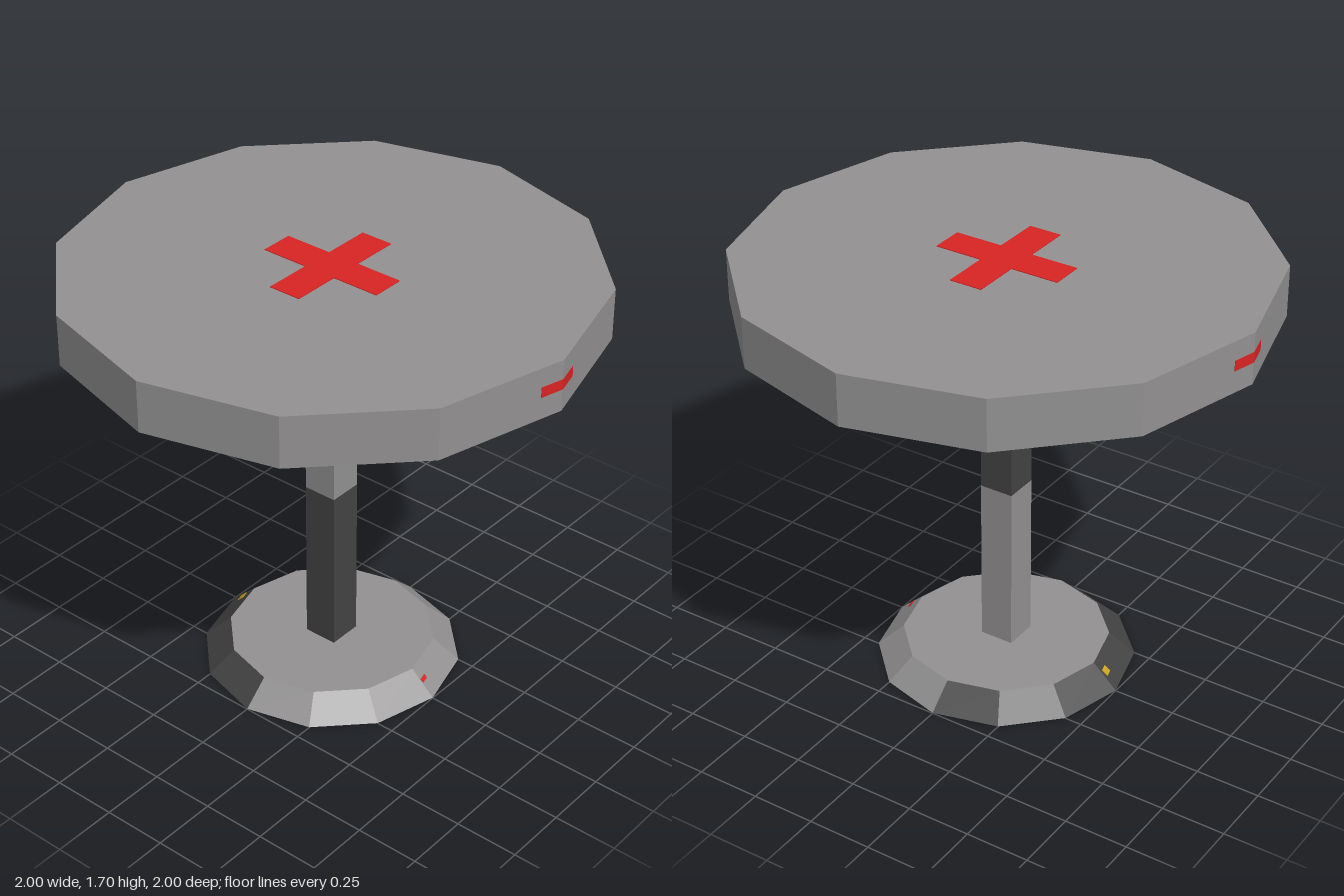
import * as THREE from 'three';

const lightGrey = new THREE.MeshStandardMaterial({ color: 0x929090 });
lightGrey.name = 'light grey';
const darkGrey = new THREE.MeshStandardMaterial({ color: 0x424342 });
darkGrey.name = 'dark grey';
const red = new THREE.MeshStandardMaterial({ color: 0xd82323 });
red.name = 'red';
const yellow = new THREE.MeshStandardMaterial({ color: 0xcca420 });
yellow.name = 'yellow';

const SIDES = 12;
const PLATE = 0.003;

// Split shared vertices so every facet is flat
function faceted(geometry) {
  const g = geometry.toNonIndexed();
  g.computeVertexNormals();
  return g;
}

function addMesh(parent, name, geometry, material, x = 0, y = 0, z = 0) {
  const mesh = new THREE.Mesh(geometry, material);
  mesh.name = name;
  mesh.position.set(x, y, z);
  parent.add(mesh);
  return mesh;
}

// Thin plus-shaped plate lying flat
function crossGeometry(reach, half) {
  const a = reach, b = half;
  const outline = [[-b, -a], [b, -a], [b, -b], [a, -b], [a, b], [b, b],
    [b, a], [-b, a], [-b, b], [-a, b], [-a, -b], [-b, -b]];
  const shape = new THREE.Shape(outline.map(([x, y]) => new THREE.Vector2(x, y)));
  const g = new THREE.ExtrudeGeometry(shape, { depth: PLATE, bevelEnabled: false });
  return g.rotateX(-Math.PI / 2);
}

// Thin plate on a side facet; angle is the facet's heading, tilt leans it upward
function addSideMark(parent, name, material, angle, w, h, x, y, r, tilt = 0) {
  const pivot = new THREE.Group();
  pivot.name = name + 'Pivot';
  pivot.rotation.y = angle;
  const plate = addMesh(pivot, name, new THREE.BoxGeometry(w, h, PLATE), material, x, y, r);
  plate.rotation.x = -tilt;
  parent.add(pivot);
}

export function createModel() {
  const table = new THREE.Group();
  table.name = 'table';
  const step = Math.PI / 12;
  const apothem = Math.cos(step);

  // Table top with dark underside
  addMesh(table, 'tableTop', faceted(new THREE.CylinderGeometry(1, 1, 0.2, SIDES)),
    [lightGrey, lightGrey, darkGrey], 0, 1.6, 0);
  addMesh(table, 'topCross', crossGeometry(0.255, 0.065), red, 0, 1.7, 0);
  addMesh(table, 'undersideCross', crossGeometry(0.255, 0.065), yellow, 0, 1.5 - PLATE, 0);

  // Red rim marks folded around the corners at each end of x
  const halfFacet = Math.sin(step);
  for (const heading of [Math.PI / 2, -Math.PI / 2]) {
    for (const s of [-1, 1]) {
      addSideMark(table, 'rimMark', red, heading + s * step, 0.093, 0.04,
        -s * (halfFacet - 0.0465), 1.605, apothem);
    }
  }

  // Square column: the two colours swap at mid height
  const L = lightGrey, D = darkGrey;
  addMesh(table, 'upperColumn', new THREE.BoxGeometry(0.136, 0.74, 0.136),
    [L, D, L, D, L, D], 0, 1.13, 0);
  addMesh(table, 'lowerColumn', new THREE.BoxGeometry(0.136, 0.67, 0.136),
    [D, L, L, D, D, L], 0, 0.425, 0);

  // Sloped base, half light and half dark
  [['baseLeftSlope', L, 0], ['baseRightSlope', D, Math.PI]].forEach(([name, mat, start]) => {
    const g = new THREE.CylinderGeometry(0.4, 0.5, 0.09, SIDES / 2, 1, true, start, Math.PI);
    addMesh(table, name, faceted(g), mat, 0, 0.045, 0);
  });
  addMesh(table, 'baseTop', new THREE.CircleGeometry(0.4, SIDES).rotateX(-Math.PI / 2), L, 0, 0.09, 0);
  addMesh(table, 'baseUnderside', new THREE.CircleGeometry(0.5, SIDES).rotateX(Math.PI / 2), D);

  // Small marks on the base slope
  const tilt = Math.atan2(0.1 * apothem, 0.09);
  addSideMark(table, 'baseRedMark', red, 7 * step, 0.035, 0.016, -0.094, 0.05, 0.43, tilt);
  addSideMark(table, 'baseYellowMark', yellow, 19 * step, 0.035, 0.03, -0.084, 0.05, 0.43, tilt);

  // Four short marks under the base
  for (let i = 0; i < 4; i++) {
    const a = i * Math.PI / 2;
    const mark = addMesh(table, 'baseUndersideMark', new THREE.BoxGeometry(0.05, PLATE, 0.028),
      yellow, 0.083 * Math.sin(a), 0, 0.083 * Math.cos(a));
    mark.rotation.y = a;
  }
  return table;
}
